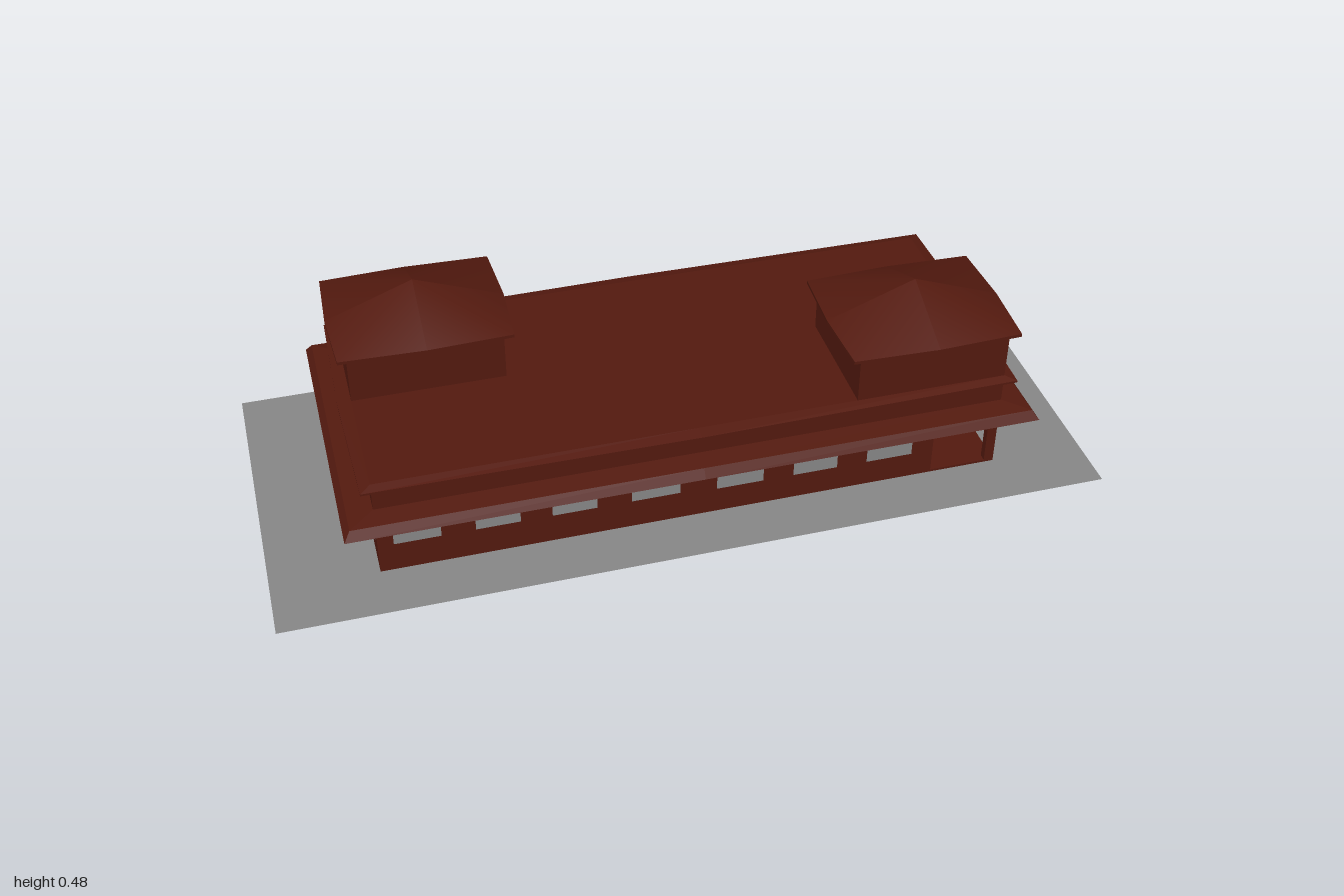
import * as THREE from 'three';

const brown = new THREE.MeshStandardMaterial({ color: 0x541a0f, flatShading: true });
const smoothBrown = new THREE.MeshStandardMaterial({ color: 0x541a0f });
const grey = new THREE.MeshStandardMaterial({ color: 0x888888, side: THREE.DoubleSide });

// Half width and half depth of the house walls
const HX = 0.757, HZ = 0.307;

function add(parent, name, geometry, material, x = 0, y = 0, z = 0) {
  const mesh = new THREE.Mesh(geometry, material);
  mesh.name = name;
  mesh.position.set(x, y, z);
  parent.add(mesh);
  return mesh;
}

// Box given by its lower and upper corners
function block(parent, name, x0, x1, y0, y1, z0, z1) {
  return add(parent, name, new THREE.BoxGeometry(x1 - x0, y1 - y0, z1 - z0), brown,
    (x0 + x1) / 2, (y0 + y1) / 2, (z0 + z1) / 2);
}

function indexedGeometry(pos, index) {
  const g = new THREE.BufferGeometry();
  g.setAttribute('position', new THREE.Float32BufferAttribute(pos, 3));
  g.setIndex(index);
  g.computeVertexNormals();
  return g;
}

// Closed stack of rectangular rings [halfX, halfZ, y, inset of the corners]
function eaveGeometry(rings) {
  const loop = [[0, 1], [1, 1], [1, 0], [1, -1], [0, -1], [-1, -1], [-1, 0], [-1, 1]];
  const n = loop.length, pos = [], index = [];
  for (const [hx, hz, y, inset = 0] of rings) {
    for (const [u, v] of loop) {
      const cut = u * v === 0 ? 0 : inset;
      pos.push(u * (hx - cut), y, v * (hz - cut));
    }
  }
  for (let r = 0; r < rings.length - 1; r++) {
    for (let k = 0; k < n; k++) {
      const a = r * n + k, b = r * n + (k + 1) % n;
      index.push(a, b, b + n, a, b + n, a + n);
    }
  }
  const top = (rings.length - 1) * n;
  for (let k = 1; k < n - 1; k++) index.push(0, k + 1, k, top, top + k, top + k + 1);
  return indexedGeometry(pos, index);
}

// Pyramid of four quarters, each smooth in itself, meeting in ridges along x and z
function pyramidGeometry(hx, hz, y0, y1, inset) {
  const pos = [], index = [];
  [[1, 1], [1, -1], [-1, -1], [-1, 1]].forEach(([u, v], q) => {
    pos.push(0, y1, 0, 0, y0, v * hz, u * (hx - inset), y0, v * (hz - inset), u * hx, y0, 0);
    const [a, b, c, d] = [0, 1, 2, 3].map((i) => q * 4 + i);
    if (u * v > 0) index.push(a, b, c, a, c, d);
    else index.push(a, c, b, a, d, c);
  });
  return indexedGeometry(pos, index);
}

// Window pane facing the front
function pane(parent, x0, x1, y0, y1, z) {
  return add(parent, 'window', new THREE.PlaneGeometry(x1 - x0, y1 - y0), grey,
    (x0 + x1) / 2, (y0 + y1) / 2, z);
}

// Everything that appears once at the front right and again, turned, at the back left
function createHalf(name) {
  const half = new THREE.Group();
  half.name = name;

  // Long wall windows
  const long = [[-0.72, -0.61], [-0.53, -0.425], [-0.35, -0.243], [-0.16, -0.043],
    [0.047, 0.162], [0.237, 0.347], [0.422, 0.537]];
  long.forEach(([a, b], i) => pane(half, a, b, i < 4 ? 0.083 : 0.075, 0.14, HZ + 0.001));

  // Short wall windows
  for (const z of [0.078, -0.075, -0.228]) {
    const w = pane(half, -0.046, 0.046, 0.075, 0.14, 0);
    w.position.set(HX + 0.001, w.position.y, z);
    w.rotation.y = Math.PI / 2;
  }

  // Corner porch: post and the window in its back wall
  block(half, 'porchPost', HX - 0.024, HX, 0.011, 0.18, HZ - 0.018, HZ);
  pane(half, 0.612, 0.715, 0.083, 0.137, 0.173);

  // Roof tower
  const tower = new THREE.Group();
  tower.name = 'tower';
  tower.position.set(0.572, 0, 0.154);
  half.add(tower);
  block(tower, 'towerWalls', -0.185, 0.185, 0.265, 0.395, -0.153, 0.153);
  add(tower, 'towerEave', eaveGeometry([
    [0.207, 0.17, 0.389, 0.008], [0.215, 0.177, 0.391, 0.008], [0.215, 0.177, 0.399, 0.008],
  ]), brown);
  add(tower, 'towerRoof', pyramidGeometry(0.215, 0.177, 0.399, 0.48, 0.008), smoothBrown);
  return half;
}

export function createModel() {
  const model = new THREE.Group();
  model.name = 'house';

  // Ground sheet
  add(model, 'ground', new THREE.PlaneGeometry(2, 0.85).rotateX(-Math.PI / 2), grey);

  const house = new THREE.Group();
  house.name = 'building';
  house.position.set(0.01, 0, -0.0125);
  model.add(house);

  // Floor slab, then ground floor walls notched at two opposite corners for the porches
  block(house, 'floor', -HX, HX, 0.006, 0.012, -HZ, HZ);
  const px = 0.592, pz = 0.172;
  const plan = new THREE.Shape([[-HX, -HZ], [px, -HZ], [px, -pz], [HX, -pz],
    [HX, HZ], [-px, HZ], [-px, pz], [-HX, pz]].map(([x, y]) => new THREE.Vector2(x, y)));
  const walls = new THREE.ExtrudeGeometry(plan, { depth: 0.167, bevelEnabled: false });
  add(house, 'lowerWalls', walls.rotateX(-Math.PI / 2), brown, 0, 0.008, 0);

  // Lower eave, upper walls and main roof
  add(house, 'lowerEave', eaveGeometry([
    [HX + 0.075, HZ + 0.064, 0.167], [HX + 0.06, HZ + 0.049, 0.189], [HX, HZ, 0.196],
  ]), brown);
  block(house, 'upperWalls', -HX, HX, 0.19, 0.262, -HZ, HZ);
  add(house, 'mainRoof', eaveGeometry([
    [HX + 0.033, HZ + 0.029, 0.259, 0.008], [HX + 0.033, HZ + 0.029, 0.264, 0.008],
    [HX, HZ, 0.27],
  ]), brown);

  // Matching halves, the second turned half way round
  house.add(createHalf('frontHalf'));
  const back = createHalf('backHalf');
  back.rotation.y = Math.PI;
  house.add(back);
  return model;
}
